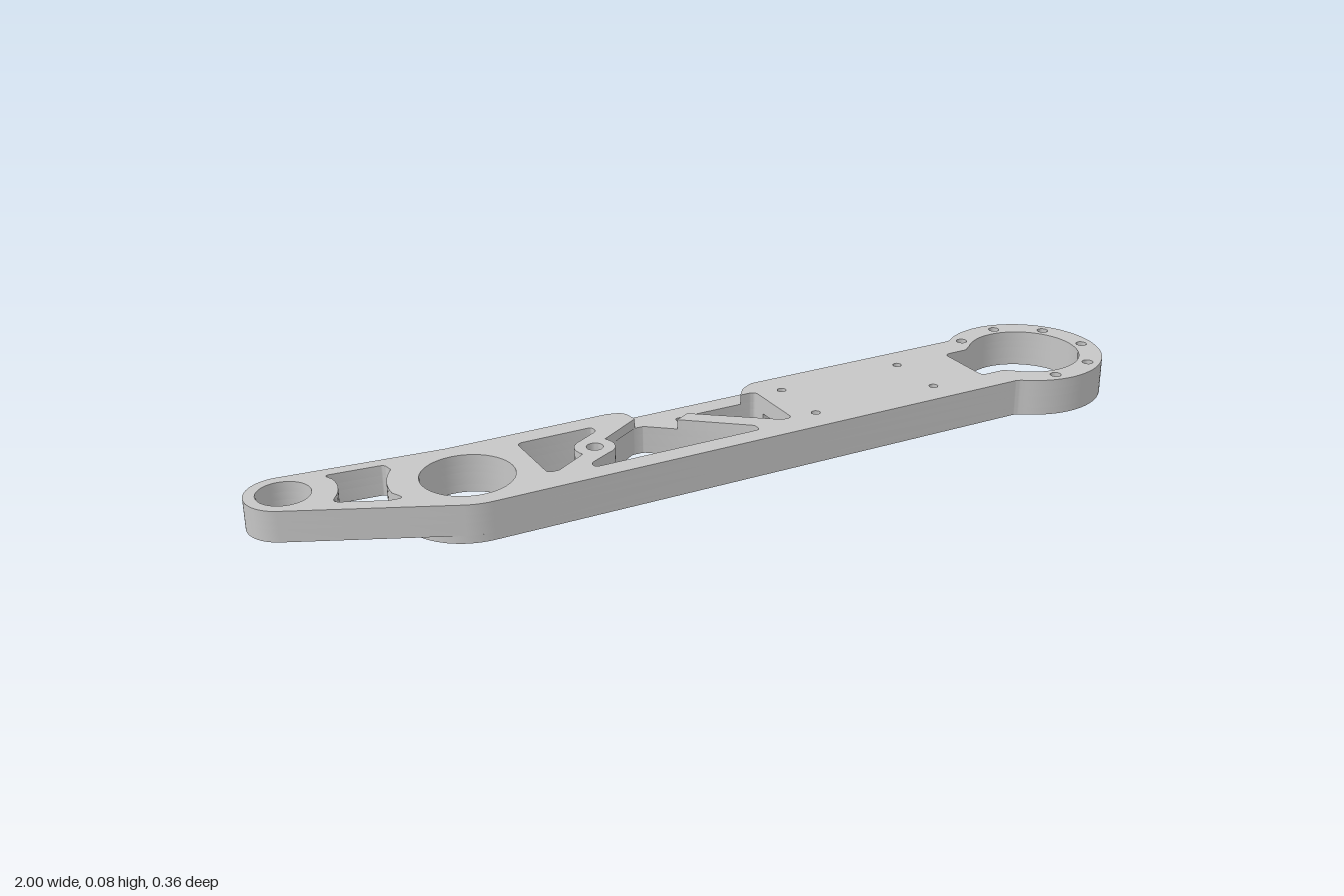
import * as THREE from 'three';
import { toCreasedNormals } from 'three/addons/utils/BufferGeometryUtils.js';

const metal = new THREE.MeshStandardMaterial({ color: 0xc6c6c6 });
metal.name = 'plain grey';

// All plan points are [x, z, cornerRadius]
function trace(path, pts) {
  const n = pts.length;
  pts.forEach(([x, z, r = 0], i) => {
    const p = new THREE.Vector2(x, -z);
    const a = pts[(i + n - 1) % n], b = pts[(i + 1) % n];
    const da = new THREE.Vector2(a[0], -a[1]).sub(p), db = new THREE.Vector2(b[0], -b[1]).sub(p);
    const half = Math.acos(THREE.MathUtils.clamp(da.dot(db) / (da.length() * db.length()), -1, 1)) / 2;
    const t = r ? Math.min(r / Math.tan(half), da.length() * 0.48, db.length() * 0.48) : 0;
    const s = p.clone().addScaledVector(da.normalize(), t);
    const e = p.clone().addScaledVector(db.normalize(), t);
    if (i === 0) path.moveTo(s.x, s.y); else path.lineTo(s.x, s.y);
    if (t) path.quadraticCurveTo(p.x, p.y, e.x, e.y);
  });
  path.closePath();
  return path;
}

function arc(cx, cz, r, from, to, n = 24) {
  return Array.from({ length: n + 1 }, (_, i) => {
    const a = THREE.MathUtils.degToRad(from + (to - from) * i / n);
    return [cx + r * Math.cos(a), cz + r * Math.sin(a)];
  });
}
const circle = (x, z, r, n = 32) => arc(x, z, r, 0, 360 - 360 / n, n - 1);

// Outlines run clockwise in plan; reversed here so outer and hole walls face outward
function layer(name, y0, y1, outline, holes) {
  const shape = trace(new THREE.Shape(), [...outline].reverse());
  shape.holes = holes.map(h => trace(new THREE.Path(), h));
  const geo = new THREE.ExtrudeGeometry(shape, { depth: y1 - y0, bevelEnabled: false, curveSegments: 6 });
  geo.rotateX(-Math.PI / 2).translate(0, y0, 0);
  const mesh = new THREE.Mesh(toCreasedNormals(geo, 0.6), metal);
  mesh.name = name;
  return mesh;
}

export function createModel() {
  const group = new THREE.Group();
  group.name = 'linkArm';

  // Outer edge: wide ring on the right, tapered nose on the left
  const rightSide = [
    [0.7055, -0.14, 0.07],
    ...arc(0.819, 0, 0.181, -122, 126, 56),
    [0.696, 0.136, 0.06],
  ];
  const leftNose = [
    ...arc(-0.575, -0.002, 0.138, 90, 114.7, 6),
    ...arc(-0.922, -0.095, 0.078, 114.7, 275.4, 28),
    ...arc(-0.575, -0.002, 0.138, 275.4, 270, 2),
  ];
  const fullOutline = [...rightSide, ...leftNose];
  const footOutline = [...rightSide, ...arc(-0.575, -0.002, 0.138, 90, 270, 36)];

  // Lightening windows
  const r = 0.014;
  const noseWindow = [
    [-0.828, -0.136, r], [-0.705, -0.125, r], ...arc(-0.575, 0, 0.16, 218, 178, 8),
    [-0.72, 0.037, r], [-0.75, 0.034, r], [-0.85, -0.012, r], ...arc(-0.922, -0.095, 0.106, 32, -10, 8),
  ];
  const leftWindow = [
    [-0.43, -0.092, r], [-0.258, -0.092, r], [-0.258, -0.07, r],
    ...arc(-0.294, 0, 0.043, 250, 150, 8), [-0.405, 0.068, r], [-0.43, 0.068, r],
  ];
  const middleWindow = [
    [-0.165, -0.088, 0.02], ...arc(-0.294, 0, 0.043, -35, 75, 8),
    [-0.335, 0.07, r], [-0.335, 0.09, r], [0.05, 0.09, r], [0.05, 0.067, r], [-0.138, -0.088, 0.02],
  ];
  const windowEnd = [[0.142, 0.068, r], [0.118, 0.068, r]];
  const rightWindow = [
    [-0.06, -0.092, r], [0.142, -0.092, r], ...windowEnd, [-0.06, -0.072, r],
  ];
  // Right window joined to the underside pocket by a small passage
  const windowAndPocket = [
    [-0.06, -0.092, r], [0.142, -0.092, r], [0.142, -0.055], [0.18, -0.055],
    [0.18, -0.1, 0.02], [0.59, -0.1, 0.02], [0.59, 0.096, 0.02], [0.18, 0.096, 0.02],
    [0.18, -0.015], [0.142, -0.015], ...windowEnd, [-0.06, -0.072, r],
  ];

  // Bores and bolt holes
  const ringBore = [
    ...arc(0.819, 0, 0.128, -136, 136, 44),
    [0.705, 0.071, 0.015], [0.645, 0.071, r], [0.645, -0.073, r], [0.705, -0.073, 0.015],
  ];
  const ringBolts = [-125, -80, -35, 10, 55, 100].map(d => {
    const a = THREE.MathUtils.degToRad(d);
    return circle(0.819 + 0.153 * Math.cos(a), 0.153 * Math.sin(a), 0.0125, 14);
  });
  const plateHoles = [];
  for (const x of [0.2, 0.51]) for (const z of [-0.073, 0.071]) plateHoles.push(circle(x, z, 0.01, 12));
  const common = [ringBore, ...ringBolts, leftWindow, circle(-0.575, 0, 0.097, 48), circle(-0.294, 0, 0.018, 16)];
  const nose = [noseWindow, circle(-0.922, -0.095, 0.055)];

  // Top edge with a shallow cable channel opening both windows to the back
  const channelOutline = [
    ...fullOutline,
    [-0.2, -0.14], [-0.163, -0.13, 0.03], [-0.158, -0.088],
    ...middleWindow.slice(1, -1), [-0.08, -0.04], [-0.045, -0.06],
    [0.118, 0.068, r], [0.142, 0.068, r], [0.142, -0.092, r],
    [0.105, -0.092], [0.128, -0.122, 0.03], [0.16, -0.14],
  ];

  group.add(
    layer('footLayer', 0, 0.017, footOutline, [...common, middleWindow, windowAndPocket]),
    layer('pocketLayer', 0.017, 0.045, fullOutline, [...common, ...nose, middleWindow, windowAndPocket]),
    layer('plateLayer', 0.045, 0.062, fullOutline, [...common, ...nose, ...plateHoles, middleWindow, rightWindow]),
    layer('topLayer', 0.062, 0.084, channelOutline, [...common, ...nose, ...plateHoles]),
  );
  return group;
}
